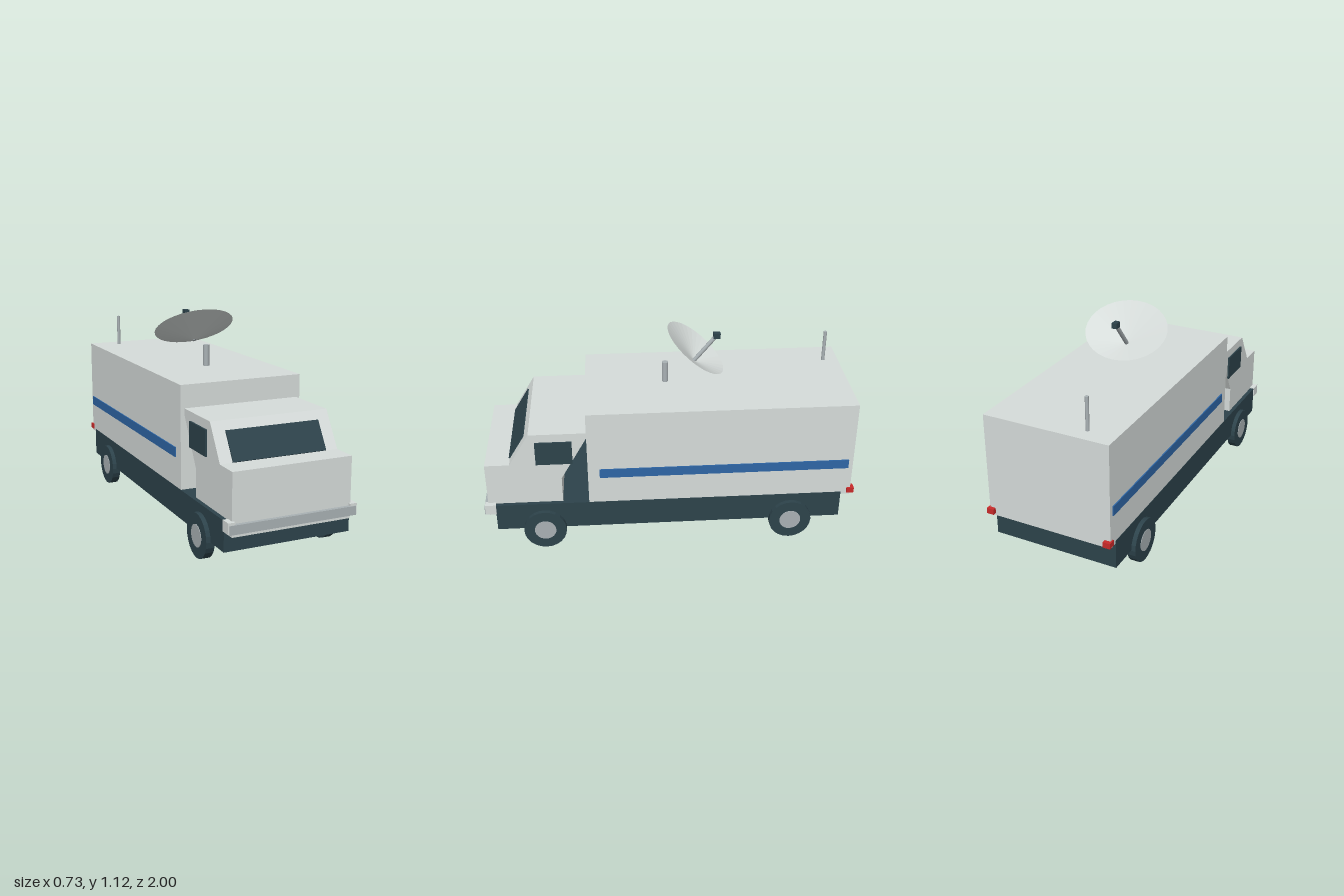
import * as THREE from 'three';

const mat = (name, color, extra = {}) => {
  const m = new THREE.MeshStandardMaterial({ color, ...extra });
  m.name = name;
  return m;
};

export function createModel() {
  const group = new THREE.Group();
  const body = mat('bodyGrey', 0xd6dcda);
  const dishMat = mat('dishGrey', 0xd6dcda, { flatShading: true, side: THREE.DoubleSide });
  const dark = mat('darkSlate', 0x2d434b);
  const tyreMat = mat('tyreSlate', 0x2d434b, { flatShading: true });
  const metal = mat('metalGrey', 0xa9b1b4);
  const blue = mat('stripeBlue', 0x2e66a6);
  const red = mat('lampRed', 0xc92a2a);

  const add = (name, geometry, material) => {
    const mesh = new THREE.Mesh(geometry, material);
    mesh.name = name;
    group.add(mesh);
    return mesh;
  };
  // Box given by its extents on each axis
  const box = (name, material, [x0, x1], [y0, y1], [z0, z1]) =>
    add(name, new THREE.BoxGeometry(x1 - x0, y1 - y0, z1 - z0)
      .translate((x0 + x1) / 2, (y0 + y1) / 2, (z0 + z1) / 2), material);
  // Rod between two points
  const rod = (name, material, from, to, radius) => {
    const a = new THREE.Vector3(...from), b = new THREE.Vector3(...to);
    const dir = b.clone().sub(a);
    const mesh = add(name, new THREE.CylinderGeometry(radius, radius, dir.length(), 16), material);
    mesh.position.copy(a).add(b).multiplyScalar(0.5);
    mesh.quaternion.setFromUnitVectors(new THREE.Vector3(0, 1, 0), dir.normalize());
  };

  // Chassis and cargo box
  box('chassis', dark, [-0.341, 0.341], [0.117, 0.273], [-0.93, 0.94]);
  box('cargoBox', body, [-0.3395, 0.3395], [0.258, 0.815], [-0.98, 0.44]);

  // Cab: side profile (z, y) extruded across the width
  const half = 0.319;
  const profile = [[0.58, 0.2], [0.98, 0.2], [0.98, 0.515], [0.85, 0.515], [0.74, 0.695],
    [0.437, 0.695], [0.437, 0.67], [0.58, 0.42]].map(p => new THREE.Vector2(...p));
  add('cab', new THREE.ExtrudeGeometry(new THREE.Shape(profile), { depth: 2 * half, bevelEnabled: false })
    .rotateY(-Math.PI / 2).translate(half, 0, 0), body);

  // Windscreen plate lying on the sloped front
  const slope = new THREE.Vector2(-0.11, 0.18);
  const screen = add('windscreen', new THREE.BoxGeometry(0.505, 0.158, 0.009), dark);
  screen.position.set(0, 0.584, 0.811);
  screen.rotation.x = Math.atan2(slope.x, slope.y);

  // Bumper and its corner blocks, side windows, stripes and tail lamps
  box('bumper', metal, [-0.34, 0.34], [0.22, 0.266], [0.965, 1]);
  for (const s of [-1, 1]) {
    const span = (a, b) => (s > 0 ? [a, b] : [-b, -a]);
    box('cornerLamp', body, span(0.309, 0.346), [0.222, 0.279], [0.938, 0.996]);
    box('sideWindow', dark, span(0.3195, 0.329), [0.516, 0.649], [0.517, 0.71]);
    box('sideStripe', blue, span(0.337, 0.3455), [0.43, 0.482], [-0.956, 0.378]);
    box('tailLamp', red, span(0.308, 0.347), [0.27, 0.3], [-1, -0.96]);

    // Wheels with hub discs
    for (const z of [0.683, -0.656]) {
      add('tyre', new THREE.CylinderGeometry(0.115, 0.115, 0.045, 24)
        .rotateZ(Math.PI / 2).translate(s * 0.3415, 0.116, z), tyreMat);
      add('hub', new THREE.CylinderGeometry(0.058, 0.058, 0.008, 24)
        .rotateZ(Math.PI / 2).translate(s * 0.3625, 0.116, z), metal);
    }
  }

  // Roof post and whip aerial
  rod('dishPost', metal, [0, 0.81, 0.008], [0, 0.93, 0.008], 0.017);
  rod('aerial', metal, [-0.184, 0.81, -0.897], [-0.184, 0.99, -0.897], 0.0095);

  // Shallow dish: unit cone mapped onto a tilted elliptical rim
  const apex = new THREE.Vector3(0, 0.932, -0.147);
  const frame = new THREE.Matrix4().makeBasis(
    new THREE.Vector3(0.23, 0, 0),
    new THREE.Vector3(0, 0.078, -0.008),
    new THREE.Vector3(0, 0.111, 0.149)).setPosition(apex);
  const dish = new THREE.LatheGeometry([new THREE.Vector2(0, 0), new THREE.Vector2(1, 1)], 32).applyMatrix4(frame);
  dish.computeVertexNormals();
  add('dish', dish, dishMat);

  // Feed arm and receiver
  rod('feedArm', metal, apex.toArray(), [0, 1.075, -0.265], 0.011);
  box('receiver', dark, [-0.014, 0.014], [1.062, 1.092], [-0.286, -0.248]);

  return group;
}
